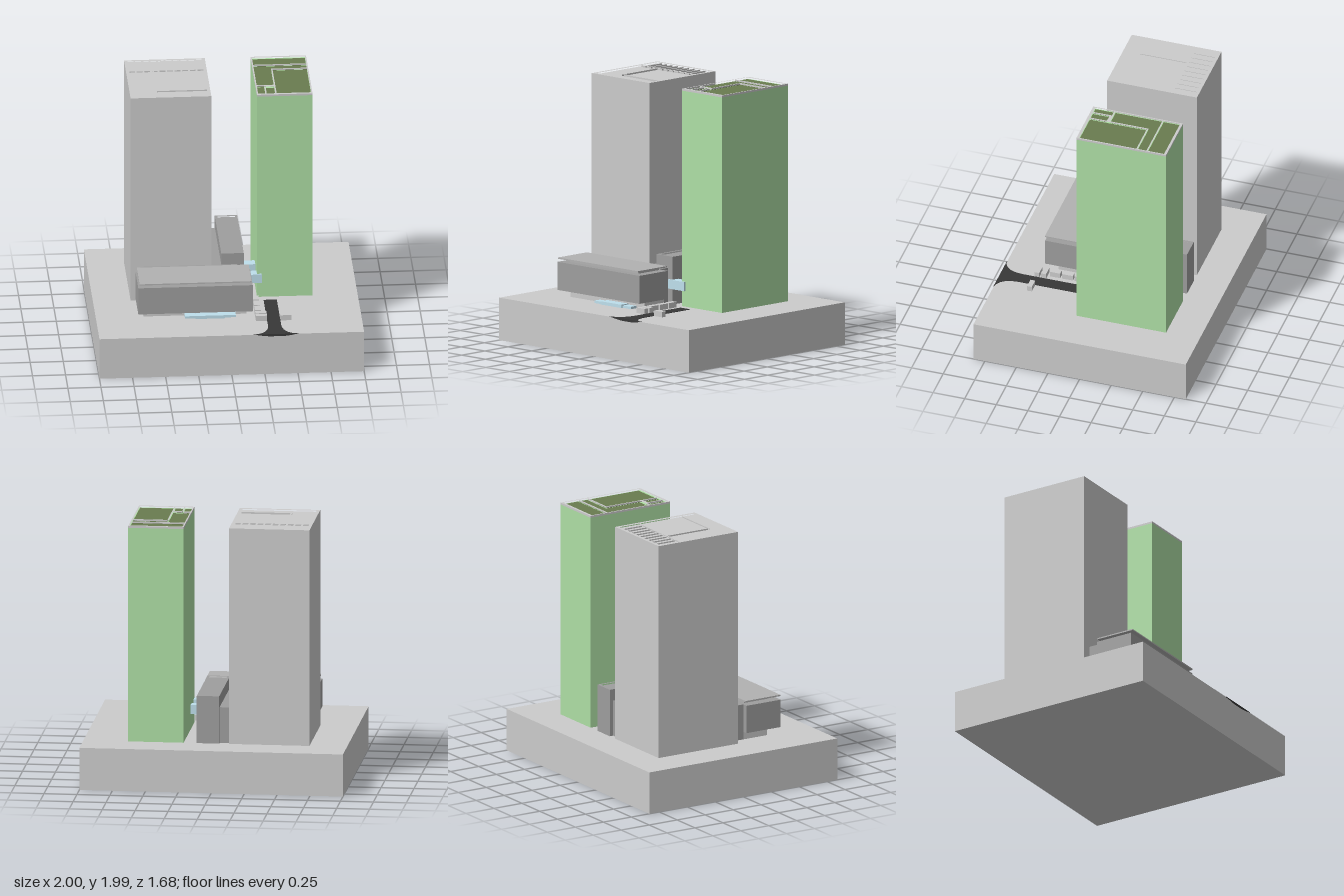
import * as THREE from 'three';

const GROUND = 0.325;
const GREY = 0xcccccc;
const DARK = 0x9e9e9e;
const MID = 0xb2b2b2;
const GREEN = 0xaedfa5;
const LAWN = 0x697c50;
const GLASS = 0xbedfec;
const ASPHALT = 0x383838;

function add(parent, name, geometry, color) {
  const mesh = new THREE.Mesh(geometry, new THREE.MeshStandardMaterial({ color, flatShading: true }));
  mesh.name = name;
  parent.add(mesh);
}

// Box given by its extents on each axis
function block(parent, name, x, y, z, color) {
  const geometry = new THREE.BoxGeometry(x[1] - x[0], y[1] - y[0], z[1] - z[0]);
  geometry.translate((x[0] + x[1]) / 2, (y[0] + y[1]) / 2, (z[0] + z[1]) / 2);
  add(parent, name, geometry, color);
}

// Plan outlines hold [x, z] corners
function rect(x0, x1, z0, z1) {
  return [[x0, z0], [x1, z0], [x1, z1], [x0, z1]];
}

function toPoints(plan) {
  return plan.map((p) => new THREE.Vector2(p[0], -p[1]));
}

// Plan shape raised from y0 to y1
function slab(parent, name, shape, y0, y1, color) {
  const geometry = new THREE.ExtrudeGeometry(shape, { depth: y1 - y0, bevelEnabled: false, curveSegments: 10 });
  geometry.rotateX(-Math.PI / 2);
  geometry.translate(0, y0, 0);
  add(parent, name, geometry, color);
}

// Building with shallow panels sunk between low roof walls
function building(parent, name, x, z, top, recesses, color, wallColor, panelColor) {
  const group = new THREE.Group();
  group.name = name;
  parent.add(group);
  const floor = top - 0.015;
  block(group, 'walls', x, [GROUND, floor], z, color);
  const shape = new THREE.Shape(toPoints(rect(x[0], x[1], z[0], z[1])));
  for (const plan of recesses) {
    shape.holes.push(new THREE.Path(toPoints(plan)));
    const panel = new THREE.Shape(toPoints(plan));
    slab(group, 'roofPanel', panel, floor, floor + 0.002, panelColor);
  }
  slab(group, 'roofWalls', shape, floor, top, wallColor);
}

export function createModel() {
  const model = new THREE.Group();
  model.name = 'towerComplex';

  block(model, 'sitePlinth', [-1, 1], [0, GROUND], [-0.84, 0.84], GREY);

  // Grey tower: square court, terrace around it and a row of slots
  const greyRoof = [
    rect(-0.505, -0.13, -0.365, 0),
    [[-0.69, -0.365], [-0.517, -0.365], [-0.517, 0.012], [-0.13, 0.012], [-0.13, 0.105], [-0.69, 0.105]]
  ];
  for (let i = 0; i < 10; i++) {
    const x = -0.69 + i * 0.0574;
    greyRoof.push(rect(x, x + 0.0434, -0.55, -0.377));
  }
  building(model, 'greyTower', [-0.715, -0.105], [-0.575, 0.135], 1.99, greyRoof, GREY, GREY, GREY);

  // Green tower: planted roof divided by low walls
  const greenRoof = [
    rect(0.25, 0.65, -0.556, -0.426),
    [[0.25, -0.417], [0.65, -0.417], [0.65, -0.346], [0.38, -0.346], [0.38, -0.045], [0.25, -0.045]],
    rect(0.39, 0.65, -0.337, 0.114),
    rect(0.25, 0.305, -0.034, 0.114),
    rect(0.315, 0.38, -0.018, 0.114)
  ];
  building(model, 'greenTower', [0.24, 0.66], [-0.575, 0.135], 1.99, greenRoof, GREEN, GREY, LAWN);

  // Core block between the towers, with its lower links
  building(model, 'coreBlock', [-0.03, 0.14], [-0.575, 0.135], 0.69,
    [rect(-0.012, 0.122, -0.555, 0.115)], DARK, DARK, DARK);
  block(model, 'rearLink', [-0.105, -0.03], [GROUND, 0.6], [-0.545, 0.135], DARK);
  block(model, 'frontLink', [-0.64, 0.09], [GROUND, 0.6], [0.135, 0.23], DARK);

  // Front hall: recessed base, overhanging storey, neck and flat roof
  const hall = new THREE.Group();
  hall.name = 'frontHall';
  model.add(hall);
  block(hall, 'hallBase', [-0.64, 0.14], [GROUND, 0.385], [0.23, 0.44], GREY);
  block(hall, 'upperStorey', [-0.685, 0.18], [0.385, 0.6], [0.23, 0.535], DARK);
  block(hall, 'roofNeck', [-0.61, 0.11], [0.6, 0.625], [0.255, 0.475], MID);
  block(hall, 'roofPlate', [-0.675, 0.17], [0.625, 0.635], [0.228, 0.54], MID);

  // Glass entrance canopy in stepped pieces
  block(hall, 'canopy', [-0.33, 0.055], [GROUND, 0.343], [0.44, 0.5], GLASS);
  block(hall, 'canopyStep', [-0.25, -0.03], [GROUND, 0.35], [0.44, 0.515], GLASS);

  // Glass bridges to the green tower
  block(model, 'rearBridge', [0.14, 0.24], [0.445, 0.515], [-0.12, -0.045], GLASS);
  block(model, 'frontBridge', [0.14, 0.275], [0.445, 0.515], [0.075, 0.135], GLASS);
  block(model, 'bridgeLanding', [0.105, 0.275], [0.445, 0.515], [0.135, 0.15], GLASS);

  // Small sheds beside the road: [x0, x1, z0, z1]
  const sheds = [
    [0.2, 0.245, 0.2, 0.28],
    [0.2, 0.245, 0.295, 0.38],
    [0.2, 0.245, 0.395, 0.475],
    [0.2, 0.285, 0.495, 0.535],
    [0.2, 0.285, 0.548, 0.585],
    [0.385, 0.47, 0.548, 0.585]
  ];
  for (const s of sheds) {
    block(model, 'shed', [s[0], s[1]], [GROUND, 0.367], [s[2], s[3]], GREY);
  }

  // Access road, flaring where it meets the site edge
  const road = new THREE.Shape();
  road.moveTo(0.285, -0.2);
  road.lineTo(0.285, -0.68);
  road.quadraticCurveTo(0.28, -0.83, 0.165, -0.84);
  road.lineTo(0.505, -0.84);
  road.quadraticCurveTo(0.39, -0.83, 0.385, -0.68);
  road.lineTo(0.385, -0.2);
  slab(model, 'road', road, GROUND - 0.003, GROUND + 0.003, ASPHALT);

  // Dropped kerb showing on the plinth face
  const kerb = new THREE.Shape();
  kerb.moveTo(0.165, GROUND + 0.003);
  kerb.quadraticCurveTo(0.25, 0.311, 0.3, 0.31);
  kerb.lineTo(0.39, 0.31);
  kerb.quadraticCurveTo(0.43, 0.311, 0.505, GROUND + 0.003);
  const kerbGeometry = new THREE.ExtrudeGeometry(kerb, { depth: 0.004, bevelEnabled: false, curveSegments: 8 });
  kerbGeometry.translate(0, 0, 0.838);
  add(model, 'droppedKerb', kerbGeometry, ASPHALT);

  return model;
}
